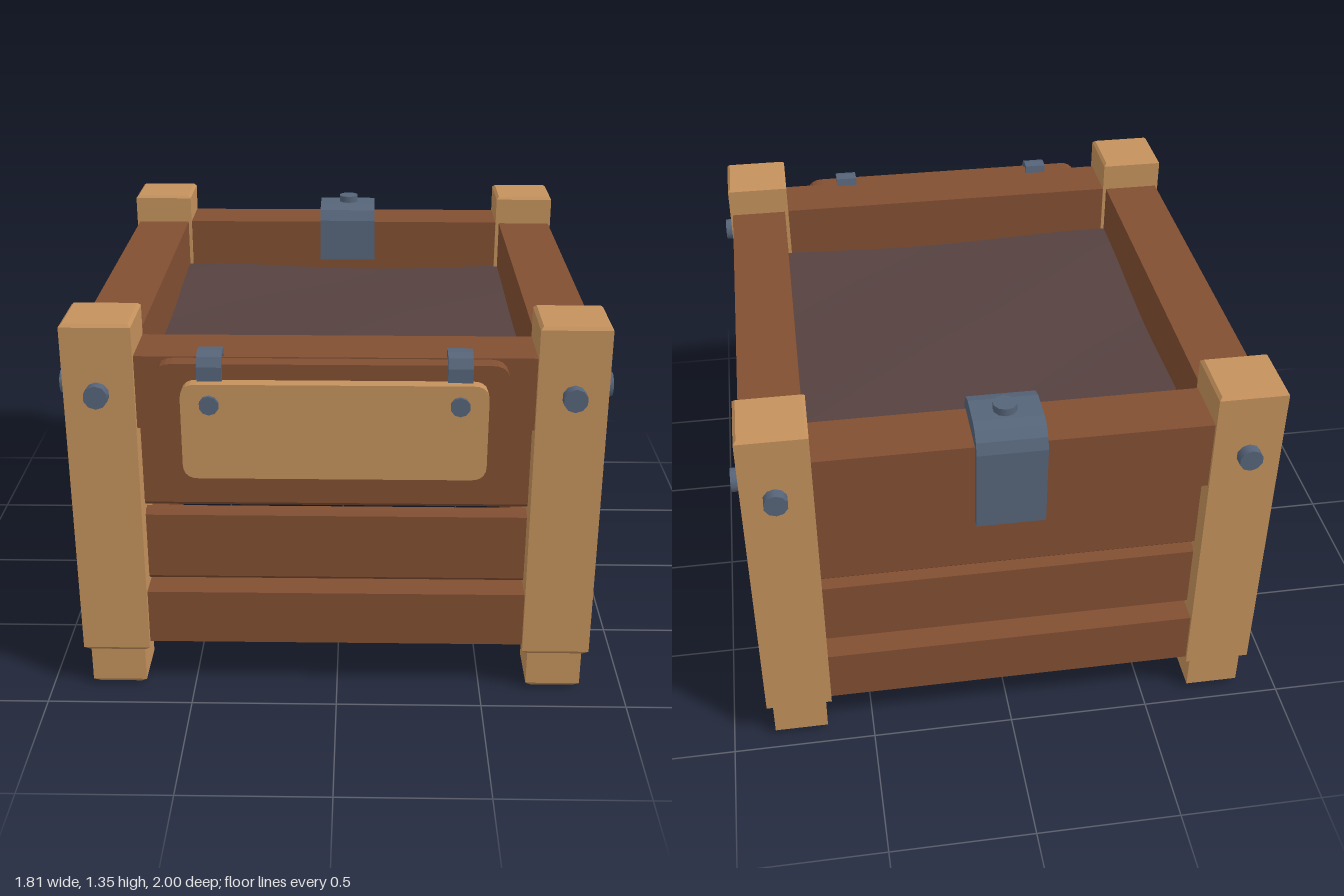
import * as THREE from 'three';
import { ConvexGeometry } from 'three/addons/geometries/ConvexGeometry.js';

const material = (name, color) => {
  const m = new THREE.MeshStandardMaterial({ color });
  m.name = name;
  return m;
};

// Square post with sharp upright edges and chamfered ends
function endChamferedPost(x, z, half, y0, y1, bottom, top) {
  const points = [];
  const levels = [[y0, half - bottom], [y0 + bottom, half], [y1 - top, half], [y1, half - top]];
  for (const [y, r] of levels)
    for (const sx of [-1, 1]) for (const sz of [-1, 1])
      points.push(new THREE.Vector3(sx * r, y, sz * r));
  return new ConvexGeometry(points).translate(x, 0, z);
}

// Plank along x whose long edges are chamfered
function chamferedPlank(length, [y0, y1], [z0, z1], b) {
  const s = new THREE.Shape();
  s.moveTo(-z0 - b, y0).lineTo(-z0, y0 + b).lineTo(-z0, y1 - b).lineTo(-z0 - b, y1);
  s.lineTo(-z1 + b, y1).lineTo(-z1, y1 - b).lineTo(-z1, y0 + b).lineTo(-z1 + b, y0);
  return new THREE.ExtrudeGeometry(s, { depth: length, bevelEnabled: false })
    .translate(0, 0, -length / 2).rotateY(Math.PI / 2);
}

// Rounded board lying in the xy plane
function roundedBoard([x0, x1], [y0, y1], [z0, z1], r) {
  const s = new THREE.Shape();
  s.moveTo(x0 + r, y0).lineTo(x1 - r, y0).quadraticCurveTo(x1, y0, x1, y0 + r);
  s.lineTo(x1, y1 - r).quadraticCurveTo(x1, y1, x1 - r, y1);
  s.lineTo(x0 + r, y1).quadraticCurveTo(x0, y1, x0, y1 - r);
  s.lineTo(x0, y0 + r).quadraticCurveTo(x0, y0, x0 + r, y0);
  return new THREE.ExtrudeGeometry(s, { depth: z1 - z0, bevelEnabled: false, curveSegments: 5 }).translate(0, 0, z0);
}

// Bent metal strap: [z, y] outline extruded along x
function strap(outline, x, width) {
  const shape = new THREE.Shape(outline.map(([z, y]) => new THREE.Vector2(z, y)));
  return new THREE.ExtrudeGeometry(shape, { depth: width, bevelEnabled: false })
    .translate(0, 0, -width / 2).rotateY(-Math.PI / 2).translate(x, 0, 0);
}

export function createModel() {
  const model = new THREE.Group();
  model.name = 'planterCrate';
  const tan = material('light wood', 0xc4915c);
  const brown = material('dark wood', 0x824f32);
  const soilMat = material('soil', 0x554140);
  const metal = material('blue grey metal', 0x566479);

  const add = (name, geometry, mat, parent = model) => {
    const mesh = new THREE.Mesh(geometry, mat);
    mesh.name = name;
    parent.add(mesh);
    return mesh;
  };

  // Bolt head pointing along a direction
  const bolt = (name, position, direction, radius, length) => {
    const head = add(name, new THREE.CylinderGeometry(radius, radius, length, 10).translate(0, length / 2, 0), metal);
    head.position.set(...position);
    head.quaternion.setFromUnitVectors(new THREE.Vector3(0, 1, 0), new THREE.Vector3(...direction));
  };

  // Corner posts with feet and bolts
  for (const sx of [-1, 1]) for (const sz of [-1, 1]) {
    const x = sx * 0.762 - 0.004;
    const z = sz * 0.82 - 0.027;
    const label = (sz > 0 ? 'front' : 'back') + (sx > 0 ? 'Left' : 'Right');
    add(label + 'Post', endChamferedPost(x, z, 0.115, 0.145, 1.352, 0.018, 0.01), tan);
    add(label + 'Foot', endChamferedPost(x, z, 0.094, 0, 0.17, 0.02, 0.001), tan);
    bolt(label + 'EndBolt', [x + sx * 0.005, 1.117, z + sz * 0.11], [0, 0, sz], 0.04, 0.042);
    bolt(label + 'SideBolt', [x + sx * 0.11, 1.117, z], [sx, 0, 0], 0.04, 0.032);
  }

  // Walls: thick top rail and bottom sill with two thin, set-back slats between
  const walls = [
    ['front', -0.005, 0.785, 0, 1.36],
    ['back', -0.005, -0.847, Math.PI, 1.36],
    ['right', -0.767, -0.03, -Math.PI / 2, 1.48],
    ['left', 0.76, -0.03, Math.PI / 2, 1.48],
  ];
  for (const [side, x, z, turn, length] of walls) {
    const wall = new THREE.Group();
    wall.name = side + 'Wall';
    wall.position.set(x, 0, z);
    wall.rotation.y = turn;
    model.add(wall);
    add(side + 'Rail', new THREE.BoxGeometry(length, 0.25, 0.207).translate(0, 1.115, 0), brown, wall);
    add(side + 'Sill', new THREE.BoxGeometry(length, 0.197, 0.207).translate(0, 0.2765, 0), brown, wall);
    add(side + 'LowerSlat', chamferedPlank(length, [0.392, 0.657], [-0.015, 0.045], 0.015), brown, wall);
    add(side + 'UpperSlat', chamferedPlank(length, [0.677, 0.985], [-0.015, 0.045], 0.015), brown, wall);
  }

  // Thin soil bed with a gently uneven top
  const soil = new THREE.BoxGeometry(1.33, 0.04, 1.435, 20, 1, 20);
  const p = soil.attributes.position;
  for (let i = 0; i < p.count; i++) {
    if (p.getY(i) < 0) continue;
    const x = p.getX(i), z = p.getZ(i);
    p.setY(i, p.getY(i) + 0.012 + 0.012 * Math.sin(4 * x + 1) * Math.cos(5 * z));
  }
  soil.computeVertexNormals();
  add('soil', soil.translate(-0.005, 1.012, -0.032), soilMat);

  // Front sign: backing board, face board, hooks and pins
  add('signBacking', roundedBoard([-0.582, 0.552], [0.815, 1.236], [0.885, 0.945], 0.06), brown);
  add('signFace', roundedBoard([-0.494, 0.484], [0.857, 1.183], [0.943, 0.988], 0.05), tan);
  for (const x of [-0.402, 0.393]) {
    const side = x > 0 ? 'left' : 'right';
    add(side + 'SignHook', strap([
      [0.96, 1.1], [0.96, 1.23], [0.943, 1.26], [0.91, 1.27], [0.872, 1.268], [0.865, 1.236],
      [0.88, 1.236], [0.886, 1.252], [0.908, 1.254], [0.932, 1.246], [0.944, 1.226], [0.944, 1.1],
    ], x, 0.08), metal);
    bolt(side + 'SignPin', [x, 1.115, 0.98], [0, 0, 1], 0.032, 0.02);
  }

  // Clamp folded over the back rail, with its knob
  add('backClamp', strap([
    [-0.985, 0.94], [-0.985, 1.23], [-0.97, 1.27], [-0.94, 1.295], [-0.9, 1.305], [-0.79, 1.305],
    [-0.745, 1.29], [-0.722, 1.25], [-0.72, 1.08], [-0.748, 1.08], [-0.748, 1.238],
    [-0.948, 1.238], [-0.952, 0.94],
  ], 0.014, 0.23), metal);
  bolt('clampKnob', [0.018, 1.295, -0.85], [0, 1, 0], 0.04, 0.036);

  return model;
}
